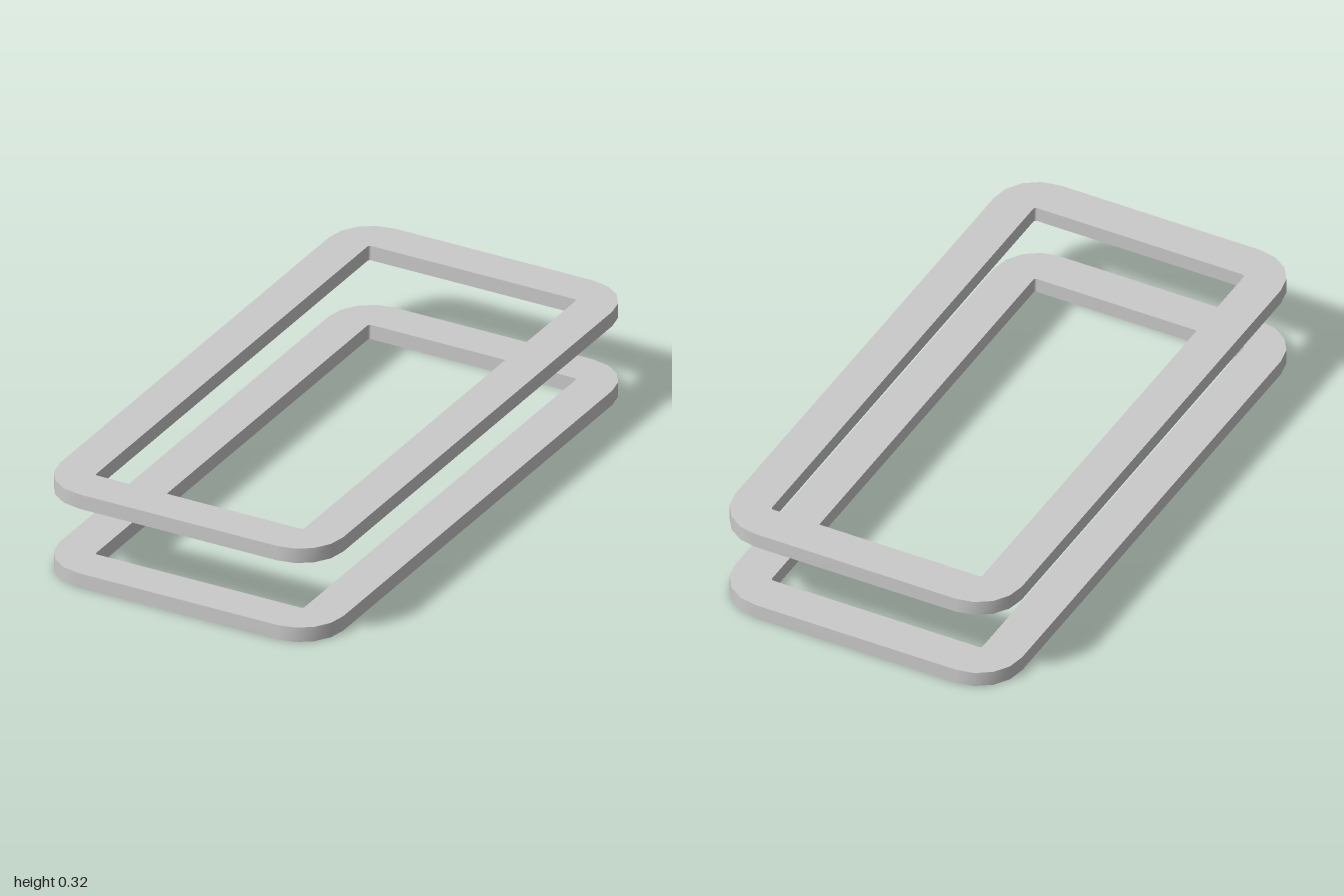
import * as THREE from 'three';

const HEIGHT = 0.05;
const SEGMENTS = 4; // facets per rounded corner

// Counter-clockwise rounded rectangle centred on the origin
function outline(halfW, halfL, radius) {
  const corners = [[1, 1], [-1, 1], [-1, -1], [1, -1]];
  const points = [];
  corners.forEach(([sx, sy], c) => {
    for (let i = 0; i <= SEGMENTS; i++) {
      const a = (c + i / SEGMENTS) * Math.PI / 2;
      points.push(new THREE.Vector2(
        sx * (halfW - radius) + radius * Math.cos(a),
        sy * (halfL - radius) + radius * Math.sin(a)));
    }
  });
  return points;
}

// Smooth upright wall along a closed outline, facing its right-hand side
function wallGeometry(points) {
  const positions = [];
  const indices = [];
  points.forEach((p, i) => {
    positions.push(p.x, 0, -p.y, p.x, HEIGHT, -p.y);
    const a = 2 * i;
    const b = 2 * ((i + 1) % points.length);
    indices.push(a, b, b + 1, a, b + 1, a + 1);
  });
  const geometry = new THREE.BufferGeometry();
  geometry.setAttribute('position', new THREE.Float32BufferAttribute(positions, 3));
  geometry.setIndex(indices);
  geometry.computeVertexNormals();
  return geometry;
}

// Flat top plate with its opening
function topGeometry(outer, inner) {
  const shape = new THREE.Shape(outer);
  shape.holes.push(new THREE.Path(inner));
  return new THREE.ShapeGeometry(shape).rotateX(-Math.PI / 2).translate(0, HEIGHT, 0);
}

export function createModel() {
  const group = new THREE.Group();
  group.name = 'stackedFrames';
  const grey = new THREE.MeshStandardMaterial({ color: 0xcacaca, side: THREE.DoubleSide });
  grey.name = 'grey';

  const outer = outline(0.5, 1, 0.15);
  const inner = outline(0.367, 0.865, 0.008);
  const parts = {
    topPlate: topGeometry(outer, inner),
    outerWall: wallGeometry(outer),
    innerWall: wallGeometry([...inner].reverse()),
  };

  // Two identical thin-walled frames, open underneath
  for (const [name, y] of [['lowerFrame', 0], ['upperFrame', 0.275]]) {
    const frame = new THREE.Group();
    frame.name = name;
    frame.position.y = y;
    for (const [partName, geometry] of Object.entries(parts)) {
      const mesh = new THREE.Mesh(geometry, grey);
      mesh.name = partName;
      frame.add(mesh);
    }
    group.add(frame);
  }
  return group;
}
